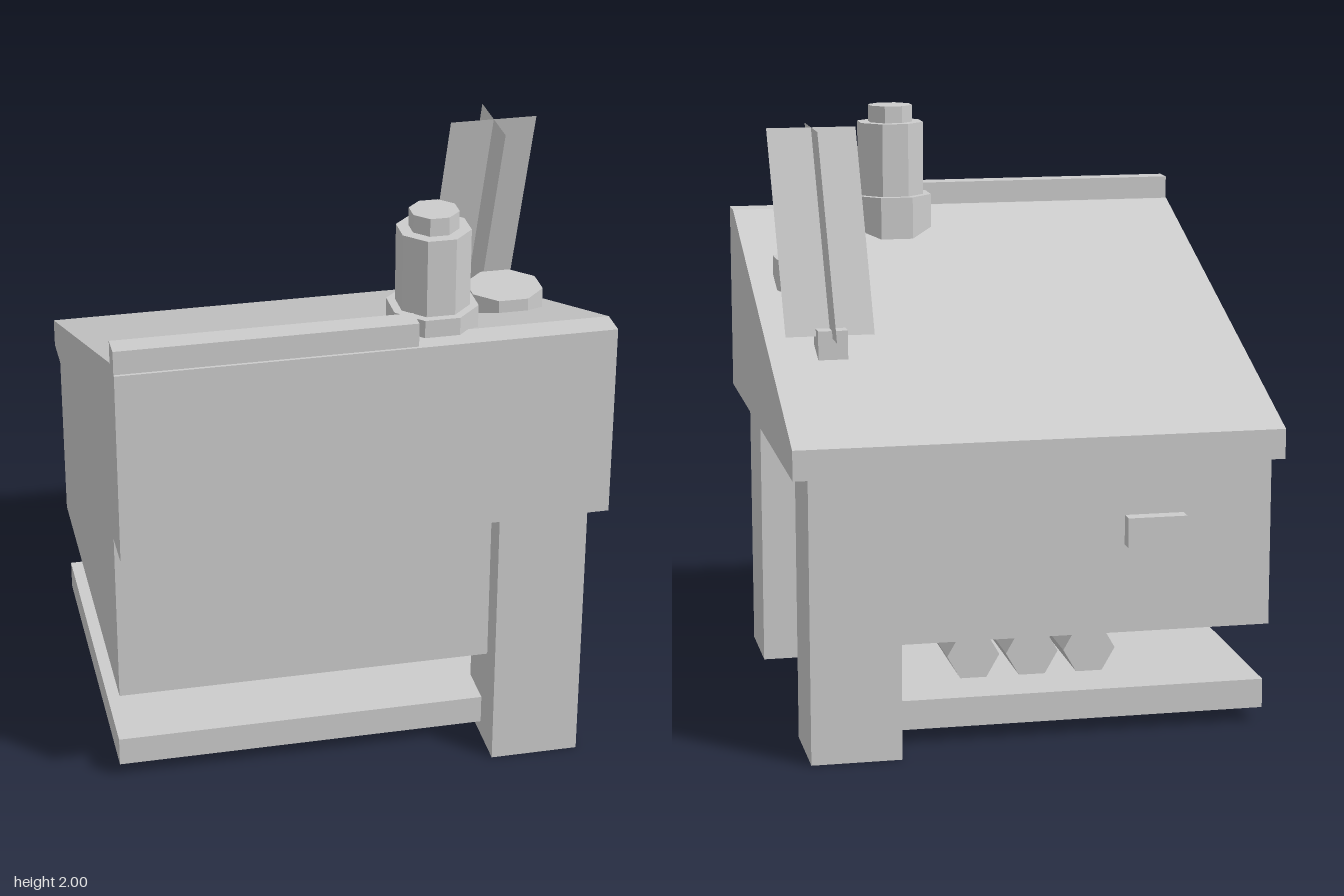
import * as THREE from 'three';

const grey = new THREE.MeshStandardMaterial({ color: 0xcccccc, flatShading: true, side: THREE.DoubleSide });
grey.name = 'plain grey';

export function createModel() {
  const model = new THREE.Group();
  model.name = 'slopedCabin';

  const add = (name, geometry) => {
    const mesh = new THREE.Mesh(geometry, grey);
    mesh.name = name;
    model.add(mesh);
    return mesh;
  };

  // Box given by its extents along each axis
  const box = (name, [x0, x1], [y0, y1], [z0, z1]) =>
    add(name, new THREE.BoxGeometry(x1 - x0, y1 - y0, z1 - z0))
      .position.set((x0 + x1) / 2, (y0 + y1) / 2, (z0 + z1) / 2);

  // Upright octagonal prism with flat sides facing the axes
  const octagon = (name, apothem, y0, y1, x, z) => {
    const r = apothem / Math.cos(Math.PI / 8);
    const geometry = new THREE.CylinderGeometry(r, r, y1 - y0, 8).rotateY(Math.PI / 8);
    add(name, geometry).position.set(x, (y0 + y1) / 2, z);
  };

  // Sloped roof block: side profile (z, y) extruded across x
  const profile = [[0.81, 0.96], [0.81, 1.62], [0.71, 1.62], [-0.81, 1.06], [-0.81, 0.96]];
  const side = new THREE.Shape(profile.map(([z, y]) => new THREE.Vector2(-z, y)));
  add('slopedRoof', new THREE.ExtrudeGeometry(side, { depth: 1.62, bevelEnabled: false })
    .rotateY(Math.PI / 2).translate(-0.81, 0, 0));
  box('roofRail', [-0.81, 0.16], [1.62, 1.70], [0.72, 0.80]);

  // Body, lower shelf and rear handle
  box('body', [-0.81, 0.605], [0.36, 0.96], [-0.66, 0.66]);
  box('shelf', [-0.81, 0.505], [0.05, 0.15], [-0.605, 0.605]);
  box('rearHandle', [-0.51, -0.31], [0.66, 0.76], [-0.71, -0.66]);

  // Two legs on the left side
  box('frontLeg', [0.455, 0.755], [0, 0.96], [0.457, 0.757]);
  box('backLeg', [0.455, 0.755], [0, 0.96], [-0.757, -0.457]);

  // Hexagonal rods lying on the shelf
  for (const x of [-0.255, -0.055, 0.148]) {
    const rod = new THREE.CylinderGeometry(0.09, 0.09, 0.6, 6).rotateY(Math.PI / 2).rotateX(Math.PI / 2);
    const mesh = add('shelfRod', rod);
    mesh.position.set(x, 0.23, -0.1);
  }

  // Stepped chimney and round hatch
  octagon('chimneyBase', 0.138, 1.5, 1.68, 0.25, 0.607);
  octagon('chimneyPipe', 0.112, 1.68, 1.94, 0.25, 0.607);
  octagon('chimneyCap', 0.075, 1.94, 2.0, 0.25, 0.607);
  octagon('hatch', 0.121, 1.36, 1.52, 0.605, 0.2);

  // Crossed leaning blades on a small foot
  box('bladeFoot', [0.55, 0.65], [1.22, 1.345], [-0.3, -0.2]);
  for (const turn of [0, Math.PI / 2]) {
    const blade = new THREE.PlaneGeometry(0.3, 0.68).translate(0, 0.34, 0).rotateY(turn);
    const p = blade.attributes.position;
    for (let i = 0; i < p.count; i++) {
      const t = p.getY(i) / 0.68;
      p.setXYZ(i, p.getX(i) + 0.035 * t, p.getY(i), p.getZ(i) + 0.15 * t);
    }
    blade.computeVertexNormals();
    add('leaningBlade', blade).position.set(0.602, 1.32, -0.25);
  }

  return model;
}
